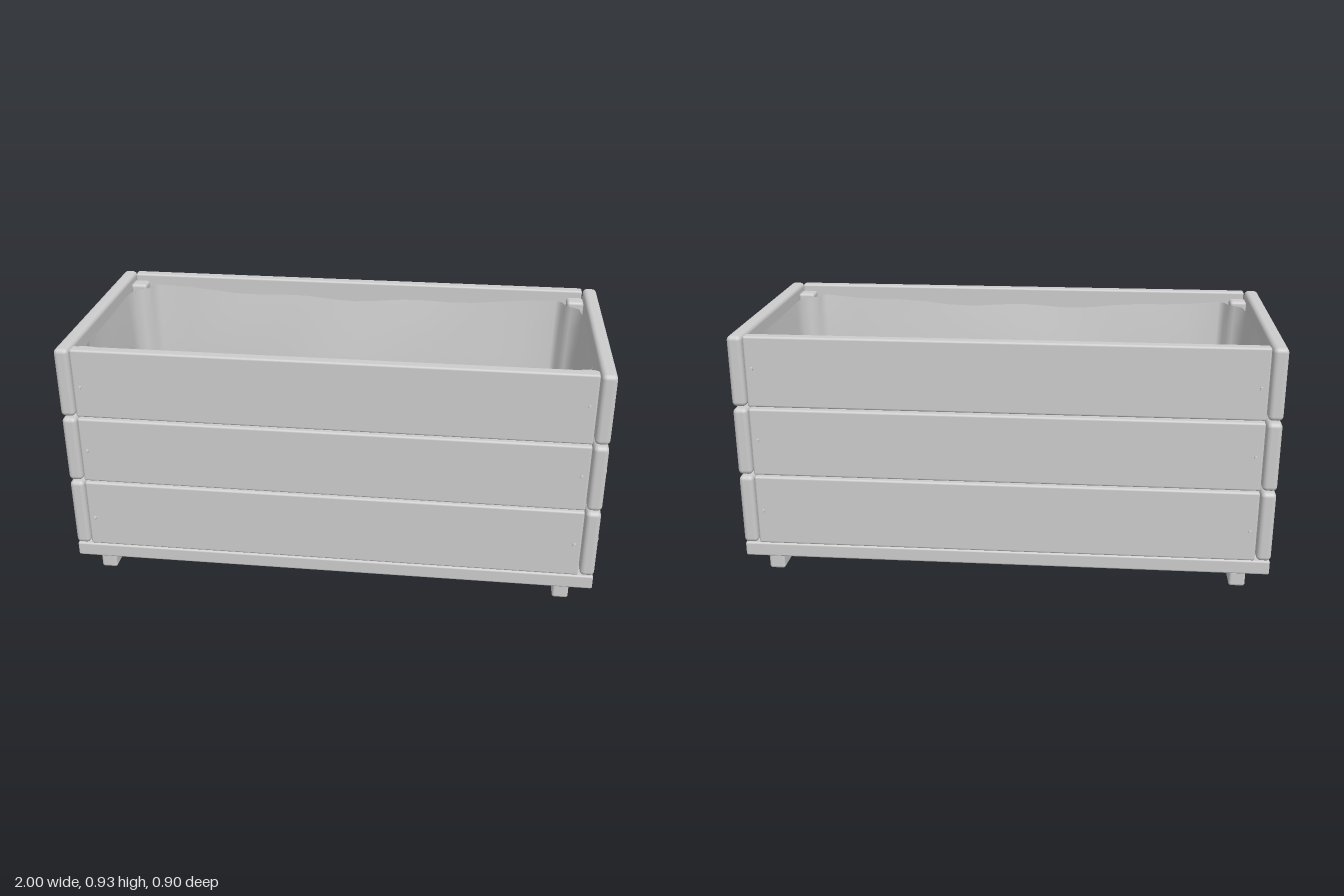
import * as THREE from 'three';
import { RoundedBoxGeometry } from 'three/addons/geometries/RoundedBoxGeometry.js';

export function createModel() {
  const model = new THREE.Group();
  model.name = 'planterBox';
  const wood = new THREE.MeshStandardMaterial({ color: 0xcccccc, side: THREE.DoubleSide });
  wood.name = 'plain grey';

  const add = (name, geometry, x = 0, y = 0, z = 0) => {
    const mesh = new THREE.Mesh(geometry, wood);
    mesh.name = name;
    mesh.position.set(x, y, z);
    model.add(mesh);
    return mesh;
  };
  // Softened board given by its limits on each axis
  const board = (name, [x0, x1], [y0, y1], [z0, z1], r = 0.012) =>
    add(name, new RoundedBoxGeometry(x1 - x0, y1 - y0, z1 - z0, 3, r),
      (x0 + x1) / 2, (y0 + y1) / 2, (z0 + z1) / 2);

  // Three rows of wall planks with small gaps
  const rows = [[0.117, 0.389], [0.396, 0.656], [0.664, 0.93]];
  for (const row of rows) {
    for (const s of [-1, 1]) {
      board('longPlank', [-0.931, 0.931], row, s > 0 ? [0.396, 0.44] : [-0.44, -0.396], 0.008);
      board('endPlank', s > 0 ? [0.936, 0.99] : [-0.99, -0.936], row, [-0.443, 0.443], 0.017);
    }
  }

  // Floor planks; the middle one has a chipped lower corner at each end
  const floorSpans = [[0.157, 0.44], [-0.139, 0.144], [-0.437, -0.151]];
  floorSpans.forEach((span, i) => {
    const mesh = board('floorPlank', [-0.988, 0.988], [0.06, 0.115], span, 0.007);
    if (i !== 1) return;
    const p = mesh.geometry.attributes.position;
    for (let k = 0; k < p.count; k++) {
      if (p.getY(k) < 0 && p.getZ(k) > 0) p.setX(k, p.getX(k) - Math.sign(p.getX(k)) * 0.04);
    }
    mesh.geometry.computeVertexNormals();
  });

  for (const s of [-1, 1]) {
    // Foot rails across both ends
    board('footRail', [s * 0.875 - 0.03, s * 0.875 + 0.03], [0, 0.062], [-0.421, 0.424], 0.01);
    // Inner corner posts
    for (const t of [-1, 1]) {
      board('cornerPost', [s * 0.902 - 0.033, s * 0.902 + 0.033], [0.115, 0.905],
        [t * 0.363 - 0.033, t * 0.363 + 0.033], 0.012);
    }
  }

  // Screw heads on all four sides
  const screw = new THREE.CylinderGeometry(0.006, 0.007, 0.014, 8);
  const heights = [[0.23, 0.252], [0.521, 0.536], [0.78, 0.811]];
  for (const [yFront, yBack] of heights) {
    for (const s of [-1, 1]) {
      add('endScrew', screw, s * 0.993, yFront, 0.361).rotation.z = -s * Math.PI / 2;
      add('endScrew', screw, s * 0.993, yBack, -0.357).rotation.z = -s * Math.PI / 2;
      add('longScrew', screw, -0.905, yFront + 0.005, s * 0.443).rotation.x = s * Math.PI / 2;
      add('longScrew', screw, 0.905, yBack, s * 0.443).rotation.x = s * Math.PI / 2;
    }
  }

  add('fabricLiner', linerGeometry());
  return model;
}

// Loose lining: loops that follow the walls and wrap the corner posts
function linerGeometry() {
  const quarter = [[0.929, 0], [0.928, 0.12], [0.925, 0.24], [0.915, 0.295], [0.885, 0.313],
    [0.862, 0.328], [0.852, 0.36], [0.83, 0.386]];
  for (let i = 7; i >= 0; i--) quarter.push([i * 0.1, 0.391]);
  const half = [...quarter, ...quarter.slice(0, -1).reverse().map(([x, z]) => [-x, z])];
  const loop = [...half, ...half.slice(1, -1).reverse().map(([x, z]) => [x, -z])];
  const n = loop.length, floorY = 0.135;
  const levels = [0, 0.12, 0.3, 0.5, 0.7, 0.88, 0.97];
  const pos = [], index = [];

  // Walls bulge inward away from the posts, below a wavy top edge
  const wall = ([x, z], t) => {
    const sag = Math.max(0, 1 - (x / 0.85) ** 2);
    const endSag = Math.max(0, 1 - (z / 0.32) ** 2);
    const top = 0.892 - 0.035 * sag - 0.015 * endSag + 0.008 * Math.sin(x * 13 + z * 4) * sag;
    const bulge = Math.sin(Math.min(t, 0.8) / 0.8 * Math.PI / 2);
    const inZ = bulge * (0.025 + 0.035 * sag + 0.006 * Math.sin(x * 9 + t * 4 + z));
    const inX = bulge * (0.012 + 0.022 * endSag);
    const onLong = Math.abs(z) > 0.38 ? 1 : 0.25;
    return [x - Math.sign(x) * inX * (1 - Math.min(1, sag * 4)),
      top + (floorY - top) * t, z - Math.sign(z) * inZ * onLong];
  };
  for (const t of levels) for (const p of loop) pos.push(...wall(p, t));
  // Floor closes towards the middle
  for (const k of [0.97, 0.75, 0.4]) {
    for (const p of loop) {
      const [x, , z] = wall(p, 1);
      pos.push(x * k, floorY + 0.006 * (1 - k), z * k);
    }
  }
  const rings = levels.length + 3;
  for (let i = 0; i < rings - 1; i++) {
    for (let j = 0; j < n; j++) {
      const a = i * n + j, b = i * n + (j + 1) % n;
      index.push(a, a + n, b, b, a + n, b + n);
    }
  }
  const centre = pos.length / 3;
  pos.push(0, floorY + 0.006, 0);
  for (let j = 0; j < n; j++) index.push((rings - 1) * n + j, centre, (rings - 1) * n + (j + 1) % n);

  const geometry = new THREE.BufferGeometry();
  geometry.setAttribute('position', new THREE.Float32BufferAttribute(pos, 3));
  geometry.setIndex(index);
  geometry.computeVertexNormals();
  return geometry;
}
